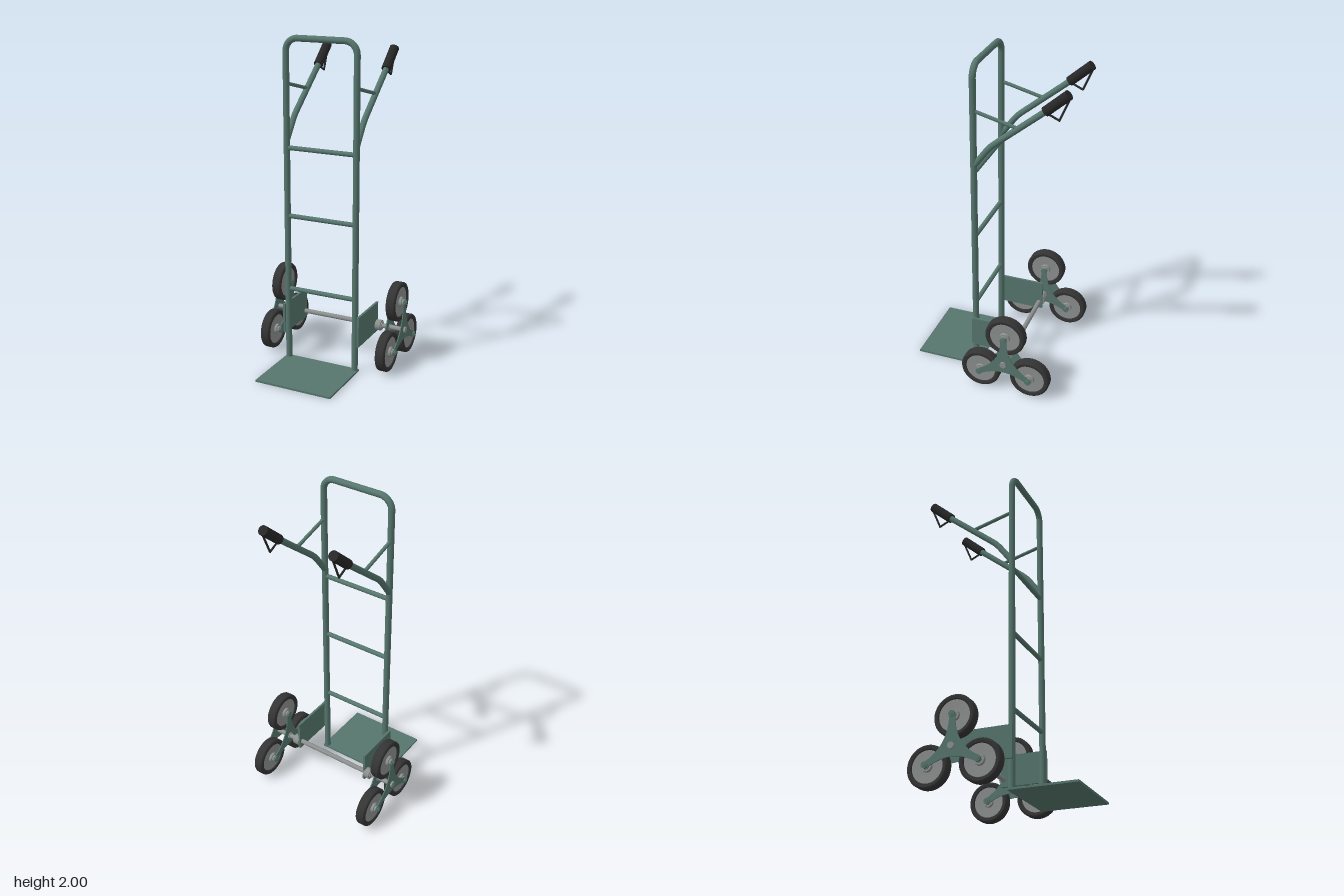
import * as THREE from 'three';

const mat = (name, color) => Object.assign(new THREE.MeshStandardMaterial({ color }), { name });

export function createModel() {
  const green = mat('green paint', 0x56766d);
  const steel = mat('grey steel', 0x8b8f8e);
  const rubber = mat('tyre rubber', 0x343434);
  const black = mat('grip black', 0x272727);
  const root = new THREE.Group();
  root.name = 'handTruck';

  const V = (x, y, z) => new THREE.Vector3(x, y, z);
  const add = (parent, name, geo, material) => {
    const m = new THREE.Mesh(geo, material);
    m.name = name;
    parent.add(m);
    return m;
  };
  // Round bar between two points
  const rod = (parent, name, a, b, r, material, r2 = r, sides = 20) => {
    const d = b.clone().sub(a);
    const m = add(parent, name, new THREE.CylinderGeometry(r2, r, d.length(), sides), material);
    m.position.copy(a).addScaledVector(d, 0.5);
    m.quaternion.setFromUnitVectors(V(0, 1, 0), d.normalize());
    return m;
  };
  const box = (parent, name, size, pos, material) => {
    const m = add(parent, name, new THREE.BoxGeometry(...size), material);
    m.position.set(...pos);
    return m;
  };

  const tubeX = 0.224, tubeZ = 0.085, tubeR = 0.019, bend = 0.075, topY = 1.981;

  // Frame: top bar, rungs and toe plate
  const frame = new THREE.Group();
  frame.name = 'frame';
  root.add(frame);
  rod(frame, 'topBar', V(-tubeX + bend, topY, tubeZ), V(tubeX - bend, topY, tubeZ), tubeR, green);
  for (const y of [0.465, 0.927, 1.343])
    rod(frame, 'rung', V(-tubeX, y, tubeZ), V(tubeX, y, tubeZ), 0.014, green);
  box(frame, 'toePlate', [0.49, 0.012, 0.4], [0, 0.006, 0.267], green);

  // Cluster geometry: three wheels around the axle
  const hubY = 0.216, hubZ = -0.169, arm = 0.178, wheelX = 0.39;
  rod(root, 'axle', V(-0.448, hubY, hubZ), V(0.448, hubY, hubZ), 0.0145, steel);

  const lathe = (pts) => new THREE.LatheGeometry(pts.map(p => new THREE.Vector2(...p)), 40).rotateZ(-Math.PI / 2);
  const tyreGeo = lathe([
    [0.092, -0.022], [0.096, -0.028], [0.096, -0.028], [0.112, -0.03], [0.112, -0.03], [0.119, -0.027],
    [0.122, -0.021], [0.122, -0.021], [0.122, 0.021], [0.122, 0.021],
    [0.119, 0.027], [0.112, 0.03], [0.112, 0.03], [0.096, 0.028], [0.096, 0.028], [0.092, 0.022],
  ]);
  const rimGeo = lathe([
    [0, -0.035], [0.03, -0.035], [0.03, -0.035], [0.032, -0.02], [0.032, -0.02], [0.094, -0.022], [0.094, -0.022],
    [0.094, 0.022], [0.094, 0.022], [0.032, 0.02], [0.032, 0.02], [0.03, 0.035], [0.03, 0.035], [0, 0.035],
  ]);

  // Three-armed plate with concave sides and rounded tips
  const star = new THREE.Shape();
  const tipW = 0.018, waist = 0.014;
  for (let i = 0; i < 3; i++) {
    const a = Math.PI / 2 + i * Math.PI * 2 / 3;
    const c = Math.cos(a), s = Math.sin(a);
    const at = (along, side) => [c * along - s * side, s * along + c * side];
    if (i === 0) star.moveTo(...at(arm, -tipW));
    star.absarc(c * arm, s * arm, tipW, a - Math.PI / 2, a + Math.PI / 2, false);
    const n = a + Math.PI * 2 / 3, mid = a + Math.PI / 3;
    star.quadraticCurveTo(Math.cos(mid) * waist, Math.sin(mid) * waist,
      Math.cos(n) * arm + Math.sin(n) * tipW, Math.sin(n) * arm - Math.cos(n) * tipW);
  }
  const starGeo = new THREE.ExtrudeGeometry(star, { depth: 0.006, bevelEnabled: false, curveSegments: 12 })
    .translate(0, 0, -0.003).rotateY(Math.PI / 2);

  for (const s of [1, -1]) {
    const side = new THREE.Group();
    side.name = s > 0 ? 'leftSide' : 'rightSide';
    root.add(side);
    const P = (x, y, z) => V(s * x, y, z);

    // Upright and its rounded top corner
    rod(side, 'upright', P(tubeX, 0, tubeZ), P(tubeX, topY - bend, tubeZ), tubeR, green);
    const corner = add(side, 'topCorner', new THREE.TorusGeometry(bend, tubeR, 20, 14, Math.PI / 2), green);
    corner.position.set(s * (tubeX - bend), topY - bend, tubeZ);
    if (s < 0) corner.rotation.z = Math.PI / 2;

    // Bent handle bar, brace and grip
    const b0 = P(tubeX, 1.485, 0.013), b1 = P(tubeX, 1.547, -0.045);
    rod(side, 'handleLower', P(tubeX, 1.393, 0.08), b0, 0.018, green);
    add(side, 'handleBend', new THREE.TubeGeometry(
      new THREE.QuadraticBezierCurve3(b0, P(tubeX, 1.521, -0.013), b1), 10, 0.018, 20), green);
    rod(side, 'handleUpper', b1, P(tubeX, 1.80, -0.352), 0.018, green);
    rod(side, 'brace', P(tubeX, 1.722, tubeZ), P(tubeX, 1.658, -0.165), 0.0105, green);
    rod(side, 'grip', P(tubeX, 1.778, -0.325), P(tubeX, 1.89, -0.451), 0.0285, black);

    // Triangular lever under the grip
    const lever = [P(tubeX, 1.775, -0.322), P(tubeX, 1.738, -0.403), P(tubeX, 1.865, -0.455)];
    rod(side, 'leverFront', lever[0], lever[1], 0.006, black, 0.006, 10);
    rod(side, 'leverBack', lever[1], lever[2], 0.006, black, 0.006, 10);
    add(side, 'leverKnee', new THREE.SphereGeometry(0.006, 10, 8), black).position.copy(lever[1]);

    // Axle bracket, bearing and collars
    box(side, 'axleBracket', [0.014, 0.19, 0.29], [s * 0.249, 0.265, -0.044], green);
    rod(side, 'bearing', P(0.25, hubY, hubZ), P(0.29, hubY, hubZ), 0.033, steel, 0.033, 28);
    rod(side, 'bearingCollar', P(0.289, hubY, hubZ), P(0.297, hubY, hubZ), 0.023, steel);
    rod(side, 'innerHub', P(0.333, hubY, hubZ), P(0.349, hubY, hubZ), 0.022, steel);
    rod(side, 'axleCap', P(0.44, hubY, hubZ), P(0.451, hubY, hubZ), 0.019, steel);

    // Star plates on both faces of the wheels
    for (const x of [0.342, 0.437])
      add(side, 'starPlate', starGeo, green).position.set(s * x, hubY, hubZ);

    // Wheels with their bolts
    for (let i = 0; i < 3; i++) {
      const a = Math.PI / 2 + i * Math.PI * 2 / 3;
      const y = hubY + Math.sin(a) * arm, z = hubZ + Math.cos(a) * arm;
      add(side, 'tyre', tyreGeo, rubber).position.set(s * wheelX, y, z);
      add(side, 'rim', rimGeo, steel).position.set(s * wheelX, y, z);
      rod(side, 'wheelBolt', P(0.329, y, z), P(0.453, y, z), 0.011, green);
      for (const x of [0.332, 0.443])
        rod(side, 'boltHead', P(x, y, z), P(x + 0.006, y, z), 0.019, green);
      for (const x of [0.345, 0.424])
        rod(side, 'spacer', P(x, y, z), P(x + 0.01, y, z), 0.02, steel);
    }
  }
  return root;
}
